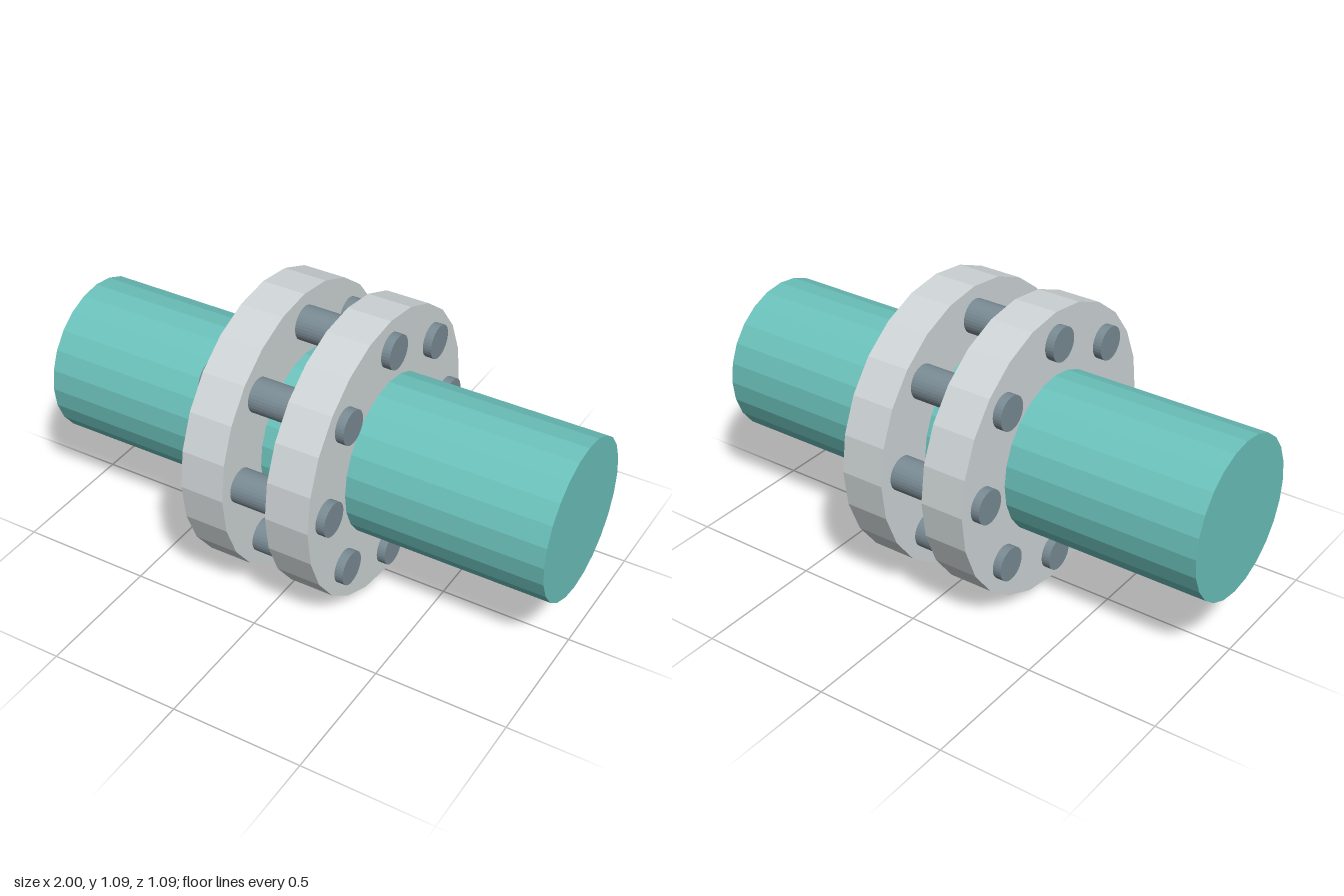
import * as THREE from 'three';

const AXIS_Y = 0.543;

function material(name, color) {
  const m = new THREE.MeshStandardMaterial({ color });
  m.name = name;
  return m;
}

// Flat-faced cylinder lying along x
function rod(name, radius, length, sides, mat, x = 0, y = 0, z = 0) {
  const geometry = new THREE.CylinderGeometry(radius, radius, length, sides)
    .rotateZ(Math.PI / 2)
    .toNonIndexed();
  geometry.computeVertexNormals();
  const mesh = new THREE.Mesh(geometry, mat);
  mesh.name = name;
  mesh.position.set(x, y, z);
  return mesh;
}

export function createModel() {
  const teal = material('teal paint', 0x6cc2bc);
  const paleSteel = material('pale steel', 0xd0d6d8);
  const darkSteel = material('dark steel', 0x7a8b94);

  const model = new THREE.Group();
  model.name = 'flangedPipeJoint';

  // Pipe running through the joint
  model.add(rod('pipe', 0.298, 2, 24, teal, 0, AXIS_Y));

  // Pair of flange discs
  for (const side of [-1, 1]) {
    const name = side > 0 ? 'leftFlange' : 'rightFlange';
    model.add(rod(name, AXIS_Y, 0.168, 24, paleSteel, side * 0.17, AXIS_Y));
  }

  // Ring of eight bolts through both flanges
  const bolts = new THREE.Group();
  bolts.name = 'bolts';
  bolts.position.y = AXIS_Y;
  for (let i = 0; i < 8; i++) {
    const a = (i * Math.PI) / 4;
    bolts.add(rod('bolt', 0.064, 0.574, 32, darkSteel, 0, 0.429 * Math.cos(a), 0.429 * Math.sin(a)));
  }
  model.add(bolts);

  return model;
}
